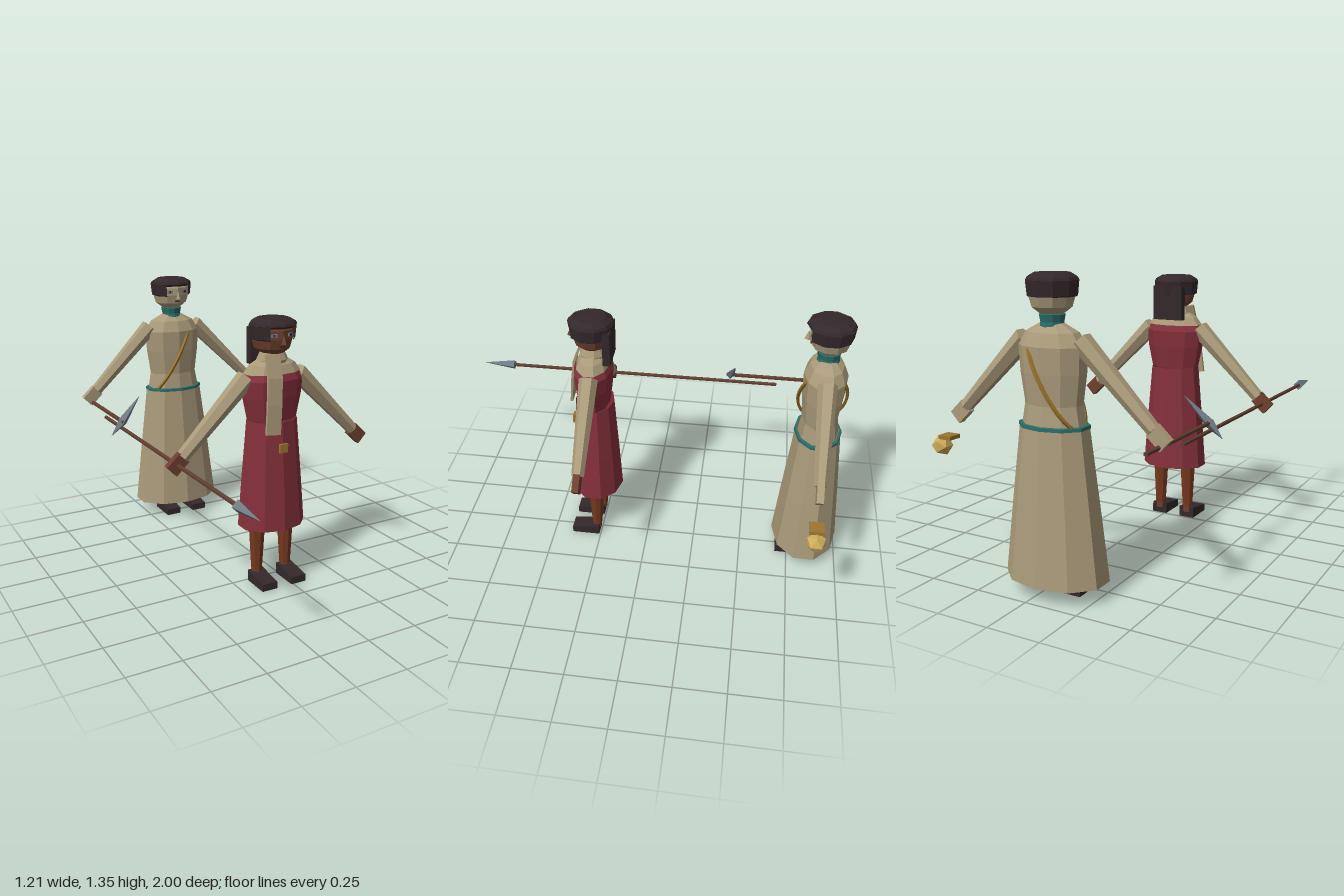
import * as THREE from 'three';

const mat = (name, color, side = THREE.FrontSide) =>
  Object.assign(new THREE.MeshStandardMaterial({ color, flatShading: true, side }), { name });
const V = (x, y, z) => new THREE.Vector3(x, y, z);
const UP = V(0, 1, 0);

export function createModel() {
  const linen = mat('linen', 0xab9b7b, THREE.DoubleSide);
  const red = mat('red cloth', 0x85303b, THREE.DoubleSide);
  const hair = mat('dark hair', 0x33282b, THREE.DoubleSide);
  const skin = mat('brown skin', 0x6e4030);
  const rust = mat('rust trousers', 0x763820);
  const gold = mat('gold', 0xcfae5c);
  const brass = mat('brass', 0x9c7630);
  const teal = mat('teal', 0x2b6d69);
  const steel = mat('steel', 0x6f7983);
  const wood = mat('wood', 0x5f3d30);

  const add = (parent, name, geometry, material, x = 0, y = 0, z = 0) => {
    const m = new THREE.Mesh(geometry, material);
    m.name = name;
    m.position.set(x, y, z);
    parent.add(m);
    return m;
  };
  const box = (parent, name, material, w, h, d, x, y, z) =>
    add(parent, name, new THREE.BoxGeometry(w, h, d), material, x, y, z);
  // Ten-sided turned part, [radius, height] rows bottom to top, flattened in z
  const turned = (parent, name, material, rows, depth = 1, start = 0, length = Math.PI * 2) => {
    const pts = rows.map(([r, y]) => new THREE.Vector2(r, y));
    const seg = Math.round(length / (Math.PI / 5));
    const m = add(parent, name, new THREE.LatheGeometry(pts, seg, start, length), material);
    m.scale.z = depth;
    return m;
  };
  // Tapered rod between two points
  const rod = (parent, name, material, a, b, ra, rb, sides = 6) => {
    const d = b.clone().sub(a);
    const m = add(parent, name, new THREE.CylinderGeometry(rb, ra, d.length(), sides), material);
    m.position.copy(a).addScaledVector(d, 0.5);
    m.quaternion.setFromUnitVectors(UP, d.normalize());
    return m;
  };

  // Legs, shoes, arms, head and hair shared by both people
  const person = (name, z, lift, skinMat, legMat, toe) => {
    const body = new THREE.Group();
    body.name = name;
    body.position.set(-0.05, 0, z);
    const upper = new THREE.Group();
    upper.name = 'upperBody';
    upper.position.y = lift;
    body.add(upper);

    for (const s of [-1, 1]) {
      rod(body, 'leg', legMat, V(s * 0.08, 0.06, 0), V(s * 0.077, 0.5, 0), 0.027, 0.052, 8);
      rod(body, 'ankle', skinMat, V(s * 0.08, 0.03, 0), V(s * 0.08, 0.07, 0), 0.024, 0.024, 8);
      // Wedge shoe, lower at the toe
      const side = new THREE.Shape();
      side.moveTo(-0.015, 0).lineTo(toe, 0).lineTo(toe, 0.035).lineTo(-0.015, 0.055).closePath();
      const shoe = new THREE.ExtrudeGeometry(side, { depth: 0.08, bevelEnabled: false });
      shoe.rotateY(-Math.PI / 2);
      add(body, 'shoe', shoe, hair, s * 0.08 + 0.04);

      rod(upper, 'sleeve', linen, V(s * 0.135, 1.015, 0), V(s * 0.462, 0.69, 0), 0.046, 0.03);
      const hand = box(upper, 'hand', skinMat, 0.065, 0.085, 0.032, s * 0.487, 0.664, 0);
      hand.rotation.z = s * 0.82;

      // Eyes
      const eye = box(upper, 'eye', steel, 0.028, 0.016, 0.006, s * 0.042, 1.21, 0.087);
      eye.rotation.y = s * 0.33;
      box(eye, 'pupil', hair, 0.009, 0.012, 0.004, 0, 0, 0.003);
    }

    // Head with nose and mouth
    turned(upper, 'head', skinMat, [[0, 1.112], [0.05, 1.118], [0.085, 1.145], [0.098, 1.19],
      [0.098, 1.23], [0.08, 1.262], [0, 1.27]]);
    const nose = add(upper, 'nose', new THREE.ConeGeometry(0.014, 0.045, 4), skinMat, 0, 1.193, 0.103);
    nose.scale.z = 1.3;
    box(upper, 'mouth', hair, 0.03, 0.006, 0.005, 0, 1.158, 0.089);
    // Hair: full crown, and a band below it open over the face
    turned(upper, 'hairCrown', hair, [[0.1, 1.24], [0.112, 1.25], [0.106, 1.262], [0.075, 1.28], [0, 1.284]])
      .position.z = 0.006;
    turned(upper, 'hairBand', hair, [[0.098, 1.185], [0.106, 1.19], [0.112, 1.25]], 1,
      Math.PI / 5, Math.PI * 1.6).position.z = 0.004;
    return { body, upper };
  };

  const model = new THREE.Group();
  model.name = 'twoTravellers';

  // Front traveller in a red tunic
  const a = person('spearBearer', 0.272, 0, skin, rust, 0.13);
  turned(a.body, 'tunicSkirt', red, [[0.168, 0.29], [0.15, 0.52], [0.125, 0.81]], 0.78);
  turned(a.body, 'tunicTop', red, [[0.125, 0.81], [0.148, 0.92], [0.156, 1.0], [0.125, 1.045], [0.1, 1.05]], 0.62);
  turned(a.body, 'shirtYoke', linen, [[0.145, 1.03], [0.115, 1.07], [0.06, 1.1]], 0.58);
  rod(a.body, 'neck', skin, V(0, 1.03, 0), V(0, 1.14, 0), 0.048, 0.045, 10);
  turned(a.body, 'neckScarf', linen, [[0.07, 1.06], [0.076, 1.09], [0.06, 1.125]], 0.85);
  // Scarf end hanging down the front in three panels
  const hang = [[-0.035, 1.12, 0.06], [-0.042, 1.02, 0.098], [-0.055, 0.9, 0.116], [-0.068, 0.77, 0.128]]
    .map((p) => V(...p));
  for (let i = 0; i < 3; i++) {
    const d = hang[i].clone().sub(hang[i + 1]);
    const panel = box(a.body, 'scarfEnd', linen, 0.075, d.length() + 0.004, 0.012, 0, 0, 0);
    panel.position.copy(hang[i]).add(hang[i + 1]).multiplyScalar(0.5);
    panel.quaternion.setFromUnitVectors(UP, d.normalize());
  }
  box(a.body, 'buckle', brass, 0.042, 0.042, 0.014, 0, 0.69, 0.108);
  box(a.upper, 'longBackHair', hair, 0.16, 0.17, 0.036, 0, 1.145, -0.078);
  model.add(a.body);

  // Spear
  const sx = -0.536;
  rod(model, 'spearShaft', wood, V(sx, 0.658, -0.63), V(sx, 0.658, 0.84), 0.01, 0.01);
  rod(model, 'spearTip', steel, V(sx, 0.658, 0.83), V(sx, 0.658, 1), 0.028, 0.001, 4);

  // Rear traveller in a long gown
  const b = person('lanternBearer', -0.833, 0.07, linen, teal, 0.143);
  turned(b.body, 'gownSkirt', linen, [[0.24, 0.07], [0.2, 0.4], [0.158, 0.73]], 0.7);
  turned(b.body, 'gownTop', linen, [[0.148, 0.73], [0.132, 0.82], [0.15, 0.95], [0.156, 1.06], [0.12, 1.115],
    [0.055, 1.15]], 0.66);
  turned(b.body, 'belt', teal, [[0.15, 0.722], [0.163, 0.724], [0.162, 0.738], [0.146, 0.74]], 0.71);
  turned(b.body, 'collar', teal, [[0.056, 1.125], [0.05, 1.155], [0.056, 1.185], [0, 1.19]]);
  // Strap looped from left shoulder to right hip
  const loop = [];
  for (let i = 0; i < 16; i++) {
    const t = (i / 16) * Math.PI * 2;
    loop.push(V(-0.015 + Math.cos(t) * 0.115, 0.915 + Math.cos(t) * 0.2, Math.sin(t) * 0.114));
  }
  add(b.body, 'strap', new THREE.TubeGeometry(new THREE.CatmullRomCurve3(loop, true), 32, 0.009, 4, true), brass);
  // Lantern
  box(b.body, 'lanternHandle', brass, 0.068, 0.018, 0.065, 0.572, 0.608, 0);
  add(b.body, 'lantern', new THREE.IcosahedronGeometry(0.048, 0), gold, 0.613, 0.563, 0);
  model.add(b.body);

  // Pick with a long and a short spike
  const px = -0.54, hub = V(px, 0.697, -0.378);
  rod(model, 'pickShaft', wood, V(px, 0.697, -0.95), V(px, 0.697, -0.36), 0.011, 0.011);
  rod(model, 'pickLongSpike', steel, hub, V(-0.432, 0.812, -0.405), 0.024, 0.001, 4);
  rod(model, 'pickShortSpike', steel, hub, V(-0.602, 0.632, -0.374), 0.024, 0.001, 4);

  return model;
}
